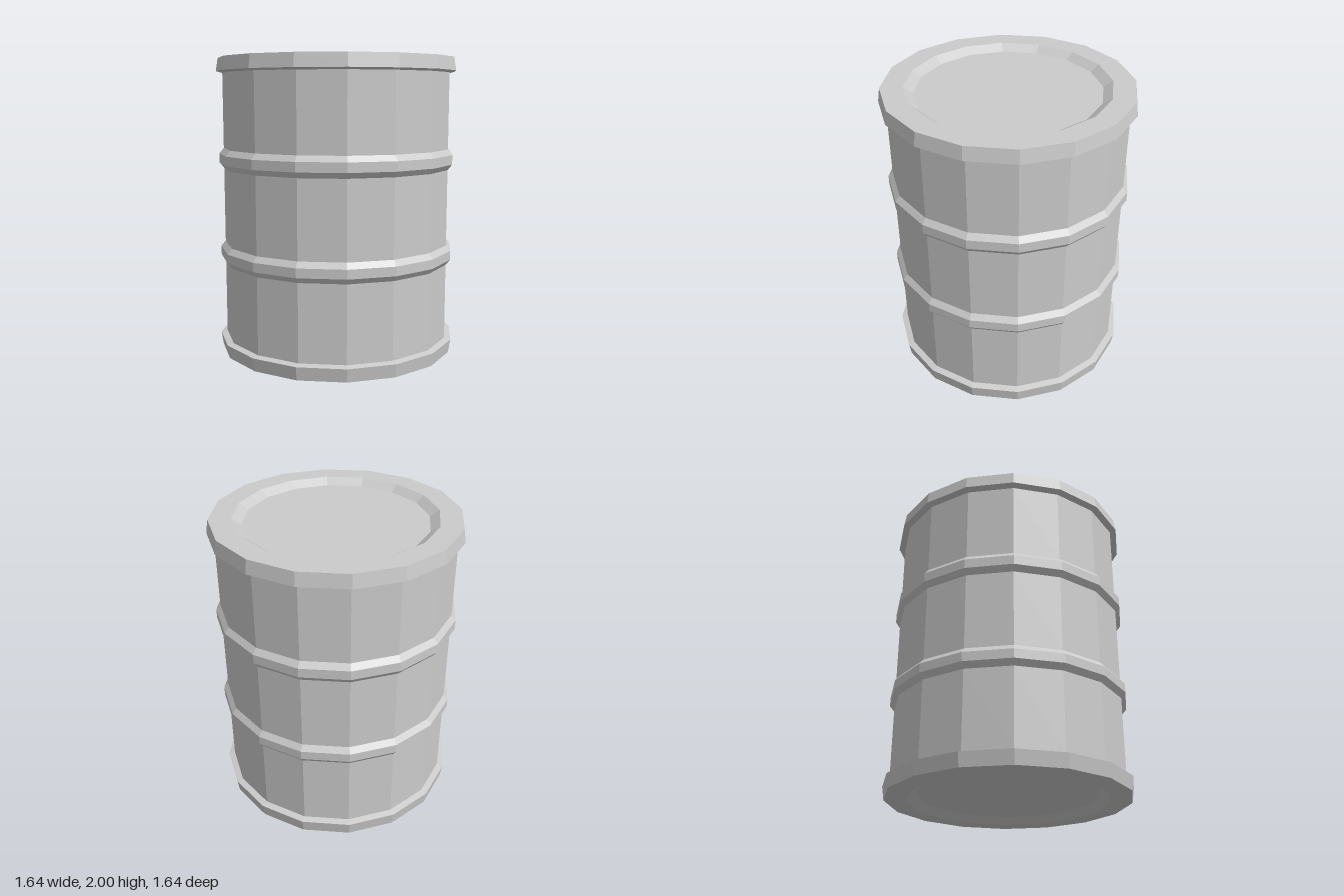
import * as THREE from 'three';

const SIDES = 16;
const BODY = 0.777, RIM = 0.82, RIM_END = 0.806, RIB = 0.807;

const material = new THREE.MeshStandardMaterial({ color: 0xcccccc, flatShading: true });

// Faceted ring from a [radius, height] profile listed bottom to top
function turned(name, profile) {
  const points = profile.map(([r, y]) => new THREE.Vector2(r, y));
  const mesh = new THREE.Mesh(new THREE.LatheGeometry(points, SIDES), material);
  mesh.name = name;
  return mesh;
}

export function createModel() {
  const drum = new THREE.Group();
  drum.name = 'drum';

  // Straight wall sections between the rims and ribs
  const walls = [[0.1, 0.612], [0.747, 1.257], [1.394, 1.9]];
  walls.forEach(([y0, y1], i) => drum.add(turned(`wall${i + 1}`, [[BODY, y0], [BODY, y1]])));

  // Two raised reinforcing ribs
  [0.612, 1.257].forEach((y, i) => {
    const top = walls[i + 1][0];
    drum.add(turned(`rib${i + 1}`, [[BODY, y], [RIB, y + 0.037], [RIB, top - 0.037], [BODY, top]]));
  });

  // Flared rims at both ends
  drum.add(turned('bottomRim', [[RIM_END, 0], [RIM, 0.09], [BODY, 0.1]]));
  drum.add(turned('topRim', [[BODY, 1.9], [RIM, 1.912], [RIM_END, 2]]));

  // End caps with a shallow bevelled recess
  const cap = [[RIM_END, 0], [0.66, 0], [0.6, 0.04], [0, 0.04]];
  drum.add(turned('topLid', cap.map(([r, d]) => [r, 2 - d])));
  drum.add(turned('bottomLid', cap.slice().reverse()));

  return drum;
}
